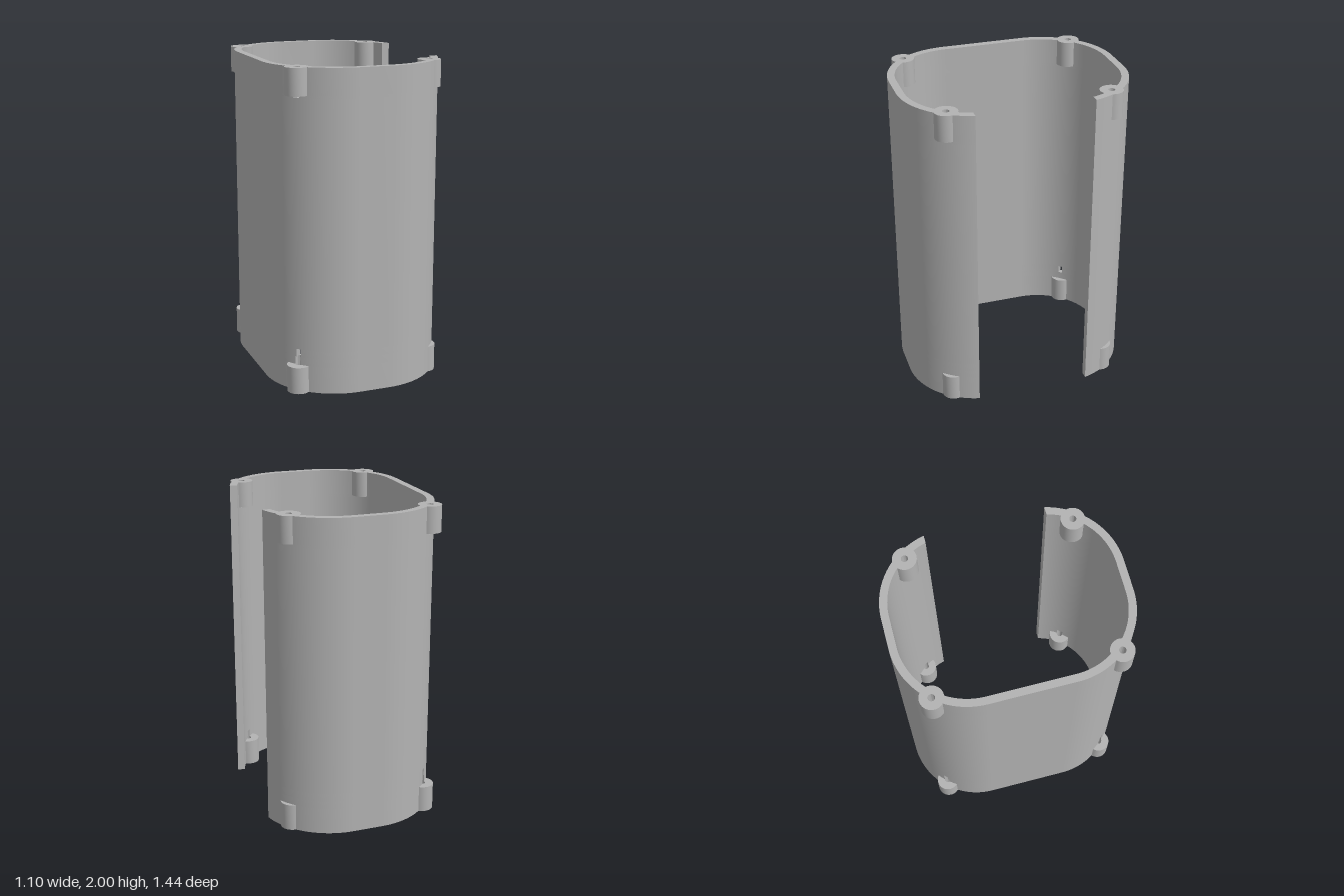
import * as THREE from 'three';
import { toCreasedNormals } from 'three/addons/utils/BufferGeometryUtils.js';

// Plan coordinates are (x, s) with s = -z; sections are extruded upward.
const CX_LEFT = -0.09, CX_RIGHT = 0.10, CS = 0.26; // corner arc centres
const R_OUT = 0.46, R_IN = 0.413, TIP = 0.365;      // wall radii, lip position
const STEPS = 48;                                   // segments per corner
const BOSS_R = 0.072, HOLE_R = 0.021;

// Screw bosses in the order they are met along the wall
const bosses = [
  { x: 0.432, s: 0.507, left: false },
  { x: -0.433, s: 0.553, left: true },
  { x: -0.433, s: -0.553, left: true },
  { x: 0.432, s: -0.507, left: false },
];

// Open rounded-rectangle path, counter-clockwise from the back lip to the front lip
function wallPath(r) {
  const tip = Math.asin((TIP - CS) / r), q = Math.PI / 2;
  const corners = [
    [CX_RIGHT, CS, tip, q], [CX_LEFT, CS, q, 2 * q],
    [CX_LEFT, -CS, 2 * q, 3 * q], [CX_RIGHT, -CS, 3 * q, 4 * q - tip],
  ];
  const pts = [];
  for (const [cx, cs, a, b] of corners) {
    for (let i = 0; i <= STEPS; i++) {
      const t = a + (b - a) * i / STEPS;
      pts.push(new THREE.Vector2(cx + r * Math.cos(t), cs + r * Math.sin(t)));
    }
  }
  return pts;
}

// Replace the stretch of a path inside a circle by an arc (dir 1 = ccw, -1 = cw)
function detour(path, boss, r, dir) {
  const c = new THREE.Vector2(boss.x, boss.s);
  const inside = (p) => p.distanceTo(c) < r;
  const first = path.findIndex(inside);
  if (first < 1) return path;
  let last = first;
  while (inside(path[last + 1])) last++;
  const crossing = (outer, inner) => {
    let a = outer.clone(), b = inner.clone();
    for (let i = 0; i < 24; i++) {
      const m = a.clone().lerp(b, 0.5);
      if (inside(m)) b = m; else a = m;
    }
    return Math.atan2(a.y - c.y, a.x - c.x);
  };
  const a0 = crossing(path[first - 1], path[first]);
  const a1 = crossing(path[last + 1], path[last]);
  const full = 2 * Math.PI;
  const sweep = ((((a1 - a0) * dir) % full) + full) % full;
  const n = Math.max(8, Math.ceil(sweep / 0.16)), arc = [];
  for (let i = 0; i <= n; i++) {
    const t = a0 + dir * sweep * i / n;
    arc.push(new THREE.Vector2(c.x + r * Math.cos(t), c.y + r * Math.sin(t)));
  }
  return [...path.slice(0, first), ...arc, ...path.slice(last + 1)];
}

const section = (outer, inner) => new THREE.Shape([...outer, ...inner.slice().reverse()]);

// Plain wall
const plainSection = () => section(wallPath(R_OUT), wallPath(R_IN));

// Wall joined with the four drilled bosses
function bossSection() {
  let outer = wallPath(R_OUT), inner = wallPath(R_IN);
  for (const b of bosses) {
    outer = detour(outer, b, BOSS_R, 1);
    inner = detour(inner, b, BOSS_R, -1);
  }
  const shape = section(outer, inner);
  for (const b of bosses) {
    shape.holes.push(new THREE.Path().absarc(b.x, b.s, HOLE_R, 0, 2 * Math.PI, true));
  }
  return shape;
}

// Wall with the screw holes running on as shallow grooves
function grooveSection() {
  let outer = wallPath(R_OUT), inner = wallPath(R_IN);
  for (const b of bosses) {
    if (b.left) outer = detour(outer, b, HOLE_R, -1);
    else inner = detour(inner, b, HOLE_R, 1);
  }
  return section(outer, inner);
}

// Wall cut through above the two left-hand bosses
function slotSections() {
  const outer = wallPath(R_OUT), inner = wallPath(R_IN);
  const nearest = (b) => {
    const c = new THREE.Vector2(b.x, b.s);
    let best = 0;
    outer.forEach((p, i) => { if (p.distanceTo(c) < outer[best].distanceTo(c)) best = i; });
    return best;
  };
  const [i, j] = bosses.filter((b) => b.left).map(nearest);
  return [[0, i - 1], [i + 1, j - 1], [j + 1, outer.length - 1]]
    .map(([a, b]) => section(outer.slice(a, b + 1), inner.slice(a, b + 1)));
}

export function createModel() {
  const group = new THREE.Group();
  const grey = new THREE.MeshStandardMaterial({ color: 0xb3b3b3 });
  grey.name = 'grey plastic';

  const addLayer = (name, shapes, y0, y1) => {
    const geo = new THREE.ExtrudeGeometry(shapes, { depth: y1 - y0, bevelEnabled: false, curveSegments: 20 });
    geo.rotateX(-Math.PI / 2);
    geo.translate(0, y0, 0);
    const mesh = new THREE.Mesh(toCreasedNormals(geo, 0.5), grey);
    mesh.name = name;
    group.add(mesh);
  };

  addLayer('lowerBossRing', bossSection(), 0, 0.17);
  addLayer('lowerGroovedWall', grooveSection(), 0.17, 0.22);
  addLayer('slottedWall', slotSections(), 0.22, 0.27);
  addLayer('mainWall', plainSection(), 0.27, 1.82);
  addLayer('upperGroovedWall', grooveSection(), 1.82, 1.835);
  addLayer('upperBossRing', bossSection(), 1.835, 2);
  return group;
}
